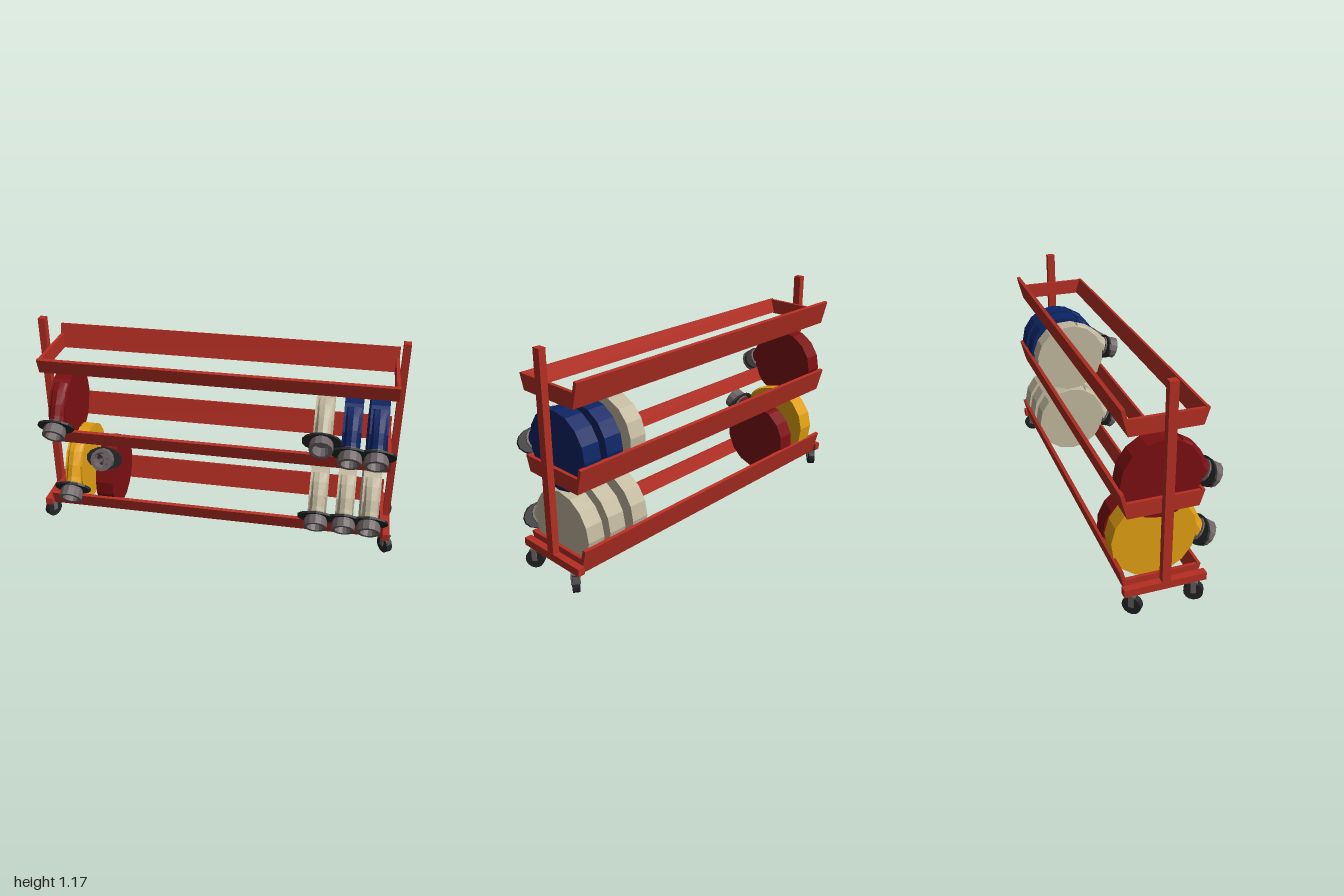
import * as THREE from 'three';

const paint = (name, color) => {
  const m = new THREE.MeshStandardMaterial({ color });
  m.name = name;
  return m;
};
const frameRed = paint('frameRed', 0xb42e23);
const hoseRed = paint('hoseRed', 0x7c0f12);
const hoseBlue = paint('hoseBlue', 0x0c2464);
const hoseBeige = paint('hoseBeige', 0xc0b79d);
const hoseYellow = paint('hoseYellow', 0xe09f12);
const metalGrey = paint('metalGrey', 0x6c6365);
const rubberBlack = paint('rubberBlack', 0x242526);

// Faceted shading baked into the normals
function flat(geo) {
  const g = geo.index ? geo.toNonIndexed() : geo;
  g.computeVertexNormals();
  return g;
}

function add(parent, name, geo, mat, x = 0, y = 0, z = 0) {
  const m = new THREE.Mesh(geo, mat);
  m.name = name;
  m.position.set(x, y, z);
  parent.add(m);
  return m;
}

// Long plank leaning along a line in the z-y plane; side = +1 front, -1 back
function plank(parent, name, bottom, top, side) {
  const dz = top[0] - bottom[0], dy = top[1] - bottom[1];
  const len = Math.hypot(dz, dy), t = 0.018;
  const m = add(parent, name, new THREE.BoxGeometry(1.864, len, t), frameRed, 0,
    (bottom[1] + top[1]) / 2 + side * (dz / len) * t / 2,
    (bottom[0] + top[0]) / 2 - side * (dy / len) * t / 2);
  m.rotation.x = Math.atan2(dz, dy);
}

function makeShelf(y) {
  const g = new THREE.Group();
  g.name = 'shelf';
  g.position.y = y;
  plank(g, 'frontPlank', [0.108, 0], [0.133, 0.08], 1);
  plank(g, 'backPlank', [-0.241, 0], [-0.275, 0.13], -1);
  const s = new THREE.Shape([[-0.108, 0], [0.241, 0], [0.262, 0.08], [-0.133, 0.08]]
    .map(p => new THREE.Vector2(...p)));
  const plate = new THREE.ExtrudeGeometry(s, { depth: 0.018, bevelEnabled: false }).rotateY(Math.PI / 2);
  for (const x of [-0.932, 0.914]) add(g, 'endPlate', plate, frameRed, x);
  return g;
}

function makeCaster(x, z, turn) {
  const g = new THREE.Group();
  g.name = 'caster';
  g.position.set(x, 0, z);
  g.rotation.y = turn;
  const wheel = new THREE.CylinderGeometry(0.047, 0.047, 0.034, 16).rotateZ(Math.PI / 2);
  add(g, 'wheel', flat(wheel), rubberBlack, 0, 0.047, 0);
  for (const s of [-1, 1]) {
    add(g, 'forkArm', new THREE.BoxGeometry(0.005, 0.062, 0.026), metalGrey, s * 0.02, 0.072, 0);
  }
  add(g, 'forkTop', new THREE.BoxGeometry(0.045, 0.008, 0.04), metalGrey, 0, 0.102, 0);
  return g;
}

// Loose hose end: a cylinder bent along a path, flat at the roll and round at the coupling
function tailGeometry() {
  const path = [[0.165, 0.09], [0.13, 0.13], [0.075, 0.165], [0.02, 0.19], [-0.025, 0.218]]; // y, z
  const thick = [0.018, 0.03, 0.038, 0.043, 0.046];
  const wide = [0.047, 0.048, 0.044, 0.041, 0.046];
  const geo = new THREE.CylinderGeometry(1, 1, 1, 10, 4);
  const p = geo.attributes.position;
  for (let i = 0; i < p.count; i++) {
    const k = Math.round((0.5 - p.getY(i)) * 4);
    const a = path[Math.max(k - 1, 0)], b = path[Math.min(k + 1, 4)];
    const len = Math.hypot(a[0] - b[0], a[1] - b[1]);
    const uy = (a[0] - b[0]) / len, uz = (a[1] - b[1]) / len;
    const h = p.getZ(i) * thick[k];
    p.setXYZ(i, p.getX(i) * wide[k], path[k][0] - uz * h, path[k][1] + uy * h);
  }
  return flat(geo);
}

const rollGeo = flat(new THREE.CylinderGeometry(0.2, 0.2, 0.096, 16).rotateZ(Math.PI / 2));
const tailGeo = tailGeometry();
const ringGeo = flat(new THREE.LatheGeometry([[0, 0], [0.056, 0], [0.056, 0.028], [0.062, 0.032],
  [0.062, 0.074], [0.044, 0.074], [0.04, 0.02], [0, 0.02]].map(p => new THREE.Vector2(...p)), 12));
const lugGeo = flat(new THREE.CylinderGeometry(1, 1, 0.012, 14).scale(0.102, 1, 0.064));

// Rolled hose with its hanging end and lugged coupling
function makeHose(mat, x, y, turnUp = 0, scale = 1) {
  const g = new THREE.Group();
  g.name = 'hoseRoll';
  g.position.set(x, y, -0.064);
  g.rotation.x = -turnUp;
  g.scale.set(1, scale, scale);
  add(g, 'roll', rollGeo, mat);
  add(g, 'looseEnd', tailGeo, mat);
  const c = new THREE.Group();
  c.name = 'coupling';
  c.position.set(0, -0.02, 0.215);
  c.rotation.x = 2.13;
  add(c, 'couplingRing', ringGeo, metalGrey);
  add(c, 'couplingLugs', lugGeo, rubberBlack, 0, 0.014, 0);
  g.add(c);
  return g;
}

export function createModel() {
  const model = new THREE.Group();
  model.name = 'hoseRack';

  // Frame: posts, feet and three slanted shelves
  for (const s of [-1, 1]) {
    add(model, 'post', new THREE.BoxGeometry(0.037, 1.03, 0.043), frameRed, s * 0.95, 0.655, -0.055);
    add(model, 'foot', new THREE.BoxGeometry(0.038, 0.04, 0.413), frameRed, s * 0.95, 0.125, -0.0565);
  }
  for (const y of [0.097, 0.511, 0.925]) model.add(makeShelf(y));

  // Swivelling casters
  model.add(makeCaster(0.952, 0.093, 0.6));
  model.add(makeCaster(0.952, -0.217, -0.6));
  model.add(makeCaster(-0.952, 0.093, -0.5));
  model.add(makeCaster(-0.952, -0.217, -0.75));

  // Hoses on the middle shelf
  model.add(makeHose(hoseBlue, 0.852, 0.662));
  model.add(makeHose(hoseBlue, 0.719, 0.662));
  model.add(makeHose(hoseBeige, 0.572, 0.66, 0.25));
  model.add(makeHose(hoseRed, -0.85, 0.662));

  // Hoses on the bottom shelf
  for (const x of [0.572, 0.719, 0.852]) model.add(makeHose(hoseBeige, x, 0.252));
  model.add(makeHose(hoseYellow, -0.783, 0.303, -0.05, 1.08));
  model.add(makeHose(hoseRed, -0.615, 0.256, 0.92));

  return model;
}
